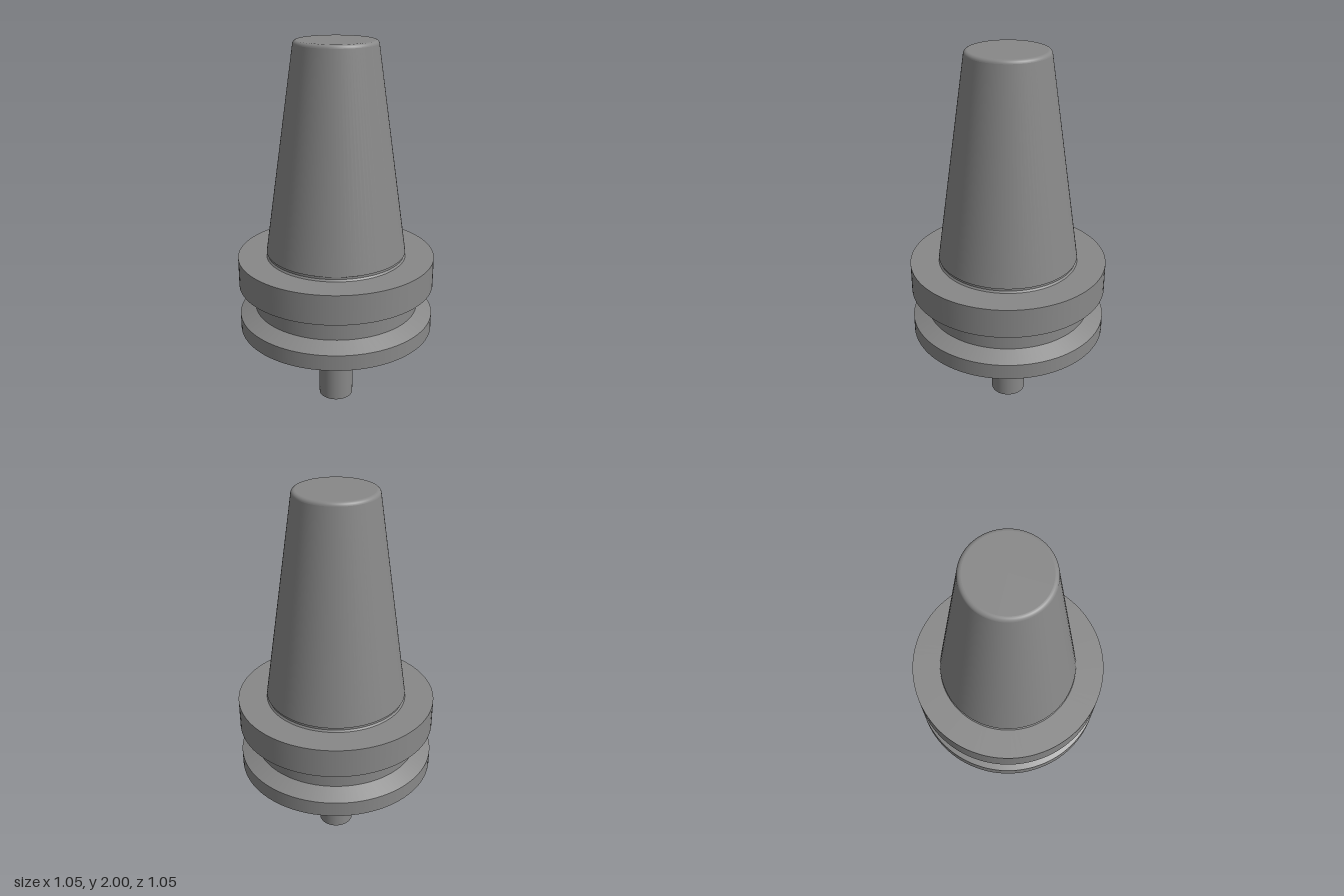
import * as THREE from 'three';
import { mergeGeometries } from 'three/addons/utils/BufferGeometryUtils.js';

const SEGMENTS = 96;
const material = new THREE.MeshStandardMaterial({ color: 0x888888 }); // dark steel grey

// Lathe each run separately: smooth inside a run, sharp edge between runs.
// Runs go from the bottom up, so the faces point outward.
function turned(name, runs) {
  const parts = runs.map((run) =>
    new THREE.LatheGeometry(run.map(([r, y]) => new THREE.Vector2(r, y)), SEGMENTS));
  const mesh = new THREE.Mesh(mergeGeometries(parts), material);
  mesh.name = name;
  return mesh;
}

// One straight run per pair of neighbouring points
const straight = (points) => points.slice(1).map((p, i) => [points[i], p]);

// Points on a circular arc, angles in degrees
function arc(cx, cy, radius, from, to, steps) {
  return Array.from({ length: steps + 1 }, (_, i) => {
    const a = THREE.MathUtils.degToRad(from + ((to - from) * i) / steps);
    return [cx + radius * Math.cos(a), cy + radius * Math.sin(a)];
  });
}

export function createModel() {
  const group = new THREE.Group();
  group.name = 'taperToolHolder';

  // Thin shank, flowing through a fillet into the shallow cone under the flange
  const shankR = 0.095, filletR = 0.09;
  const fillet = arc(shankR + filletR, 0.272, filletR, 180, 105, 10);
  group.add(turned('shank', [
    [[0, 0], [shankR, 0]],
    [[shankR, 0], fillet[0]],
    fillet,
    [fillet[fillet.length - 1], [0.527, 0.459]],
  ]));

  // Flange with a V-sided gripping groove
  group.add(turned('grippingFlange', straight([
    [0.527, 0.459], [0.527, 0.544], [0.443, 0.584], [0.443, 0.671],
    [0.527, 0.713], [0.527, 0.873], [0.374, 0.873],
  ])));

  // Small relief between flange and taper
  group.add(turned('reliefGroove', straight([
    [0.374, 0.873], [0.367, 0.883], [0.367, 0.894], [0.373, 0.897],
  ])));

  // Long taper with a rounded top edge
  const topEdge = arc(0.194, 1.98, 0.02, 8, 90, 6);
  group.add(turned('taper', [
    [[0.373, 0.897], topEdge[0]],
    topEdge,
    [[0.194, 2], [0, 2]],
  ]));

  return group;
}
